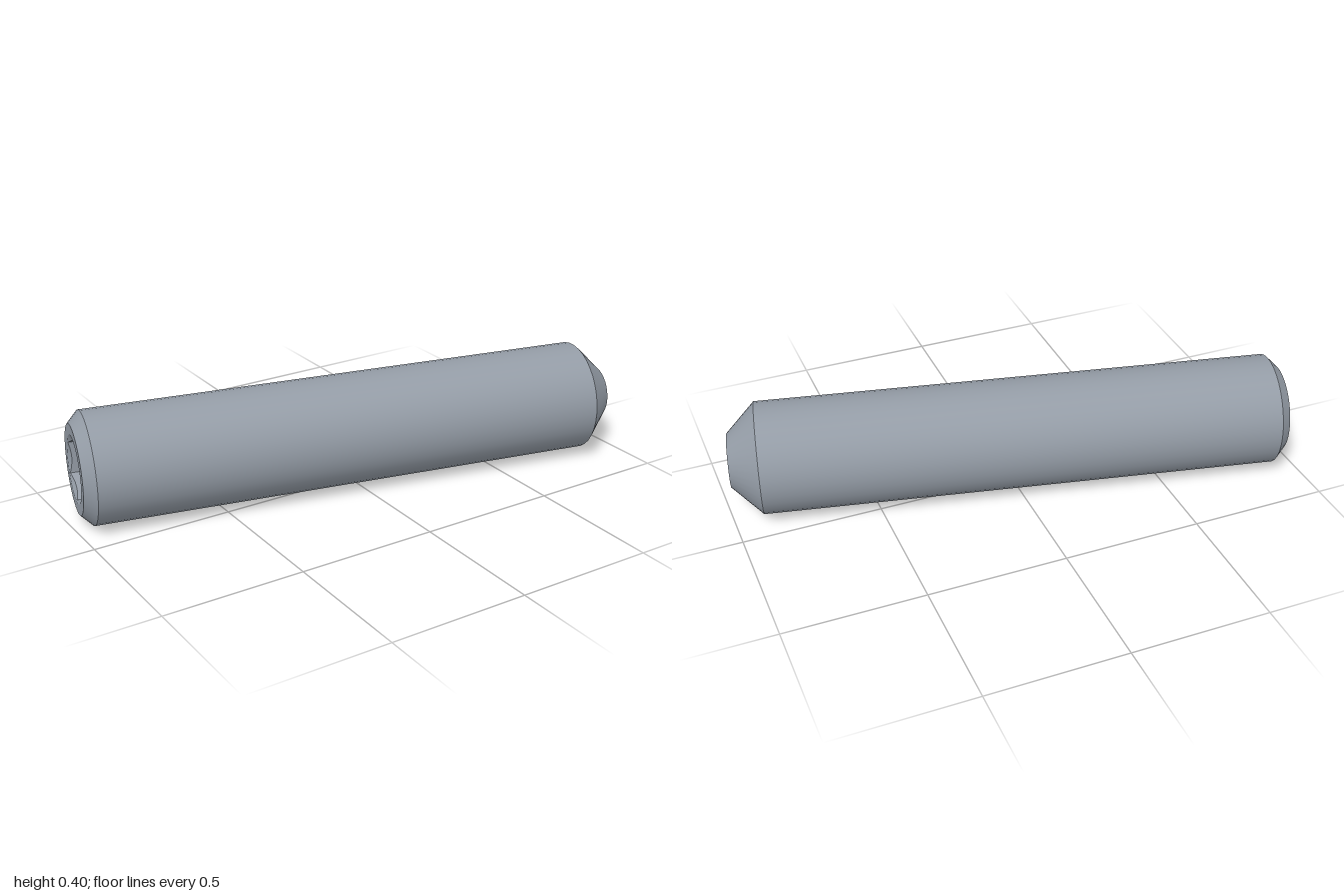
import * as THREE from 'three';

const SEG = 36;
const R = 0.199;                      // shank radius
const HEAD = -0.989, TIP = 1.001;     // ends along the axis
const RIM = 0.119, APOTHEM = 0.1;     // socket opening and half width across flats
const SOCKET_DEPTH = 0.16;

// Hexagonal recess: floor, six flats, and a countersunk scalloped mouth
function socketGeometry() {
  const hexRadius = (phi) => {
    const third = Math.PI / 3;
    const a = phi - Math.round(phi / third) * third;
    return APOTHEM / Math.cos(a);
  };
  const at = (r, y, phi) => [r * Math.sin(phi), y, r * Math.cos(phi)];
  const column = (i) => {
    const phi = (i / SEG) * Math.PI * 2;
    const r = hexRadius(phi);
    return [
      at(0, HEAD + SOCKET_DEPTH, phi),
      at(r, HEAD + SOCKET_DEPTH, phi),
      at(r, HEAD + (RIM - r) * 0.6, phi),
      at(RIM, HEAD, phi),
    ];
  };
  const pos = [];
  for (let i = 0; i < SEG; i++) {
    const p = column(i), q = column(i + 1);
    pos.push(...p[0], ...q[1], ...p[1]);
    for (let j = 1; j < 3; j++) {
      pos.push(...p[j], ...q[j], ...p[j + 1], ...q[j], ...q[j + 1], ...p[j + 1]);
    }
  }
  const g = new THREE.BufferGeometry();
  g.setAttribute('position', new THREE.Float32BufferAttribute(pos, 3));
  g.computeVertexNormals();
  return g;
}

export function createModel() {
  const model = new THREE.Group();
  model.name = 'setScrew';
  const steel = new THREE.MeshStandardMaterial({ color: 0x949ca6 });
  steel.name = 'steel grey';

  // Built upright along y, then laid down along its slanted axis
  const screw = new THREE.Group();
  screw.name = 'screwBody';
  const add = (name, geometry) => {
    const mesh = new THREE.Mesh(geometry, steel);
    mesh.name = name;
    screw.add(mesh);
  };

  // Each turned surface is its own ring so the edges between them stay sharp
  const turned = [
    ['socketEndFace', RIM, HEAD, 0.158, HEAD],
    ['headChamfer', 0.158, HEAD, R, -0.949],
    ['shank', R, -0.949, R, 0.897],
    ['pointCone', R, 0.897, 0.095, TIP],
    ['cupPoint', 0.095, TIP, 0, TIP - 0.057],
  ];
  for (const [name, r0, y0, r1, y1] of turned) {
    add(name, new THREE.LatheGeometry([new THREE.Vector2(r0, y0), new THREE.Vector2(r1, y1)], SEG));
  }
  add('hexSocket', socketGeometry());

  screw.rotation.set(0, -0.2147, -Math.PI / 2, 'YZX');
  screw.position.y = R;
  model.add(screw);
  return model;
}
